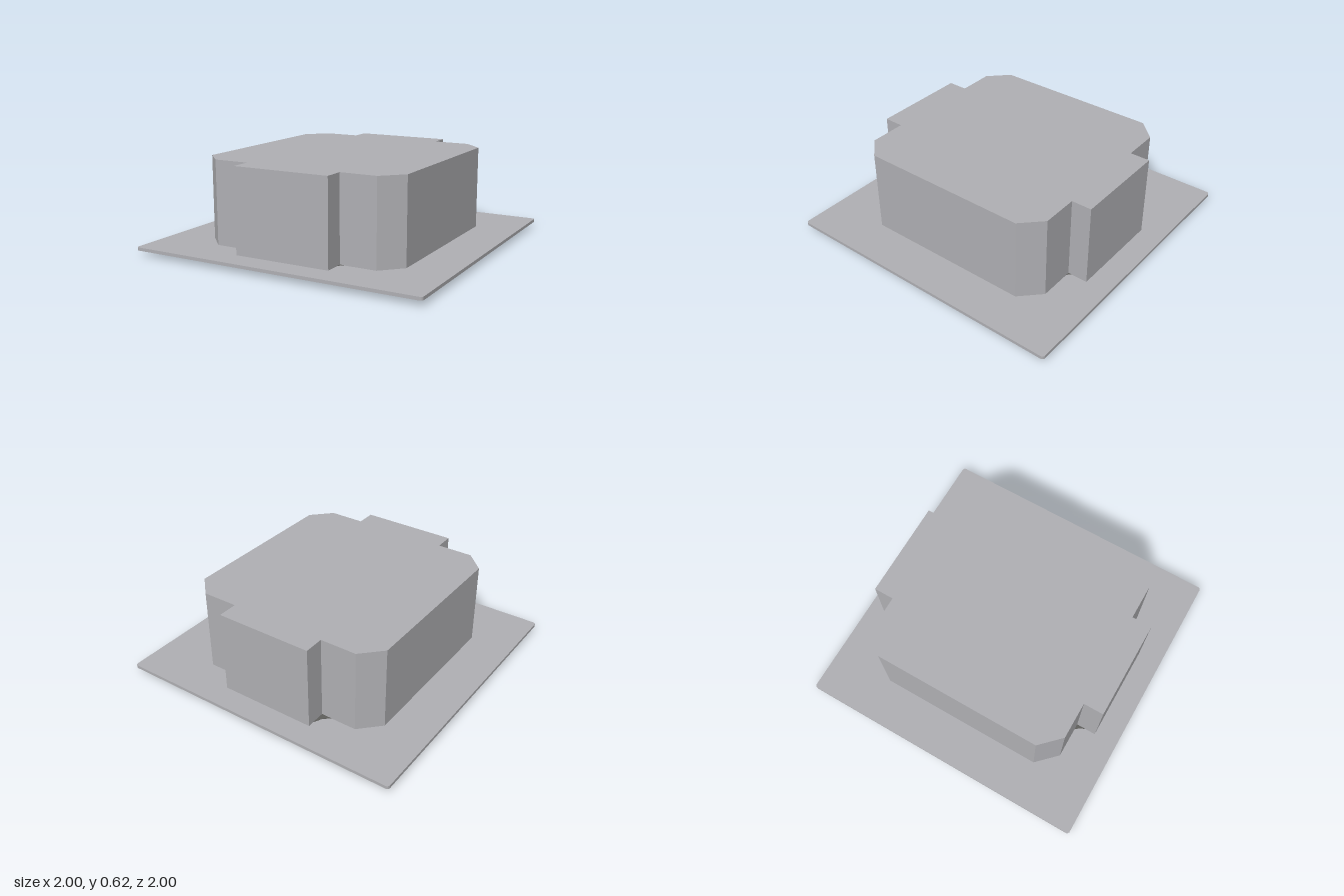
import * as THREE from 'three';

const casing = new THREE.MeshStandardMaterial({ color: 0xb0b0b4 });
casing.name = 'light grey casing';
const dark = new THREE.MeshStandardMaterial({ color: 0x5f5f5c });
dark.name = 'dark grey grille';

// Square outline with rounded corners, in plan
function roundedSquare(half, r) {
  const s = new THREE.Shape();
  const c = half - r;
  s.absarc(c, c, r, 0, Math.PI / 2);
  s.absarc(-c, c, r, Math.PI / 2, Math.PI);
  s.absarc(-c, -c, r, Math.PI, Math.PI * 1.5);
  s.absarc(c, -c, r, Math.PI * 1.5, Math.PI * 2);
  s.closePath();
  return s;
}

// Raise a plan outline (x, -z) from y0 to y1
function slab(name, shape, y0, y1, material) {
  const geo = new THREE.ExtrudeGeometry(shape, { depth: y1 - y0, bevelEnabled: false, curveSegments: 4 });
  geo.rotateX(-Math.PI / 2);
  geo.translate(0, y0, 0);
  const mesh = new THREE.Mesh(geo, material);
  mesh.name = name;
  return mesh;
}

export function createModel() {
  const model = new THREE.Group();
  model.name = 'ceilingUnit';

  // Housing: chamfered box with a wide tab at front and back
  const quarter = [[0.705, 0.572], [0.575, 0.703], [0.33, 0.703], [0.33, 0.838]];
  const flipped = [...quarter].reverse();
  const outline = [
    ...quarter,
    ...flipped.map(([x, y]) => [-x, y]),
    ...quarter.map(([x, y]) => [-x, -y]),
    ...flipped.map(([x, y]) => [x, -y]),
  ].map(([x, y]) => new THREE.Vector2(x, y));
  model.add(slab('housing', new THREE.Shape(outline), 0.055, 0.615, casing));

  // Wide thin flange and the raised panel under it
  model.add(slab('flange', roundedSquare(1, 0.02), 0.034, 0.055, casing));
  model.add(slab('lowerPanel', roundedSquare(0.685, 0.004), 0.002, 0.034, casing));

  // Dark intake grille on the underside
  model.add(slab('intakeGrille', roundedSquare(0.595, 0.06), 0, 0.002, dark));

  // Dark strip along the front edge of the panel
  const strip = new THREE.Mesh(new THREE.BoxGeometry(0.925, 0.029, 0.004), dark);
  strip.name = 'frontStrip';
  strip.position.set(-0.0775, 0.0165, 0.686);
  model.add(strip);

  // Small dark patches on the flange in the housing notches: [xSide, zSide, width, depth]
  for (const [sx, sz, w, d] of [[-1, -1, 0.07, 0.09], [1, -1, 0.025, 0.025], [-1, 1, 0.04, 0.065], [1, 1, 0.028, 0.03]]) {
    const x = sx * 0.33, y = -sz * 0.703;
    const patch = new THREE.Shape([
      new THREE.Vector2(x, y),
      new THREE.Vector2(x + sx * w, y),
      new THREE.Vector2(x + sx * w * 0.4, y - sz * d * 0.4),
      new THREE.Vector2(x, y - sz * d),
    ]);
    model.add(slab('notchPatch', patch, 0.055, 0.057, dark));
  }
  return model;
}
